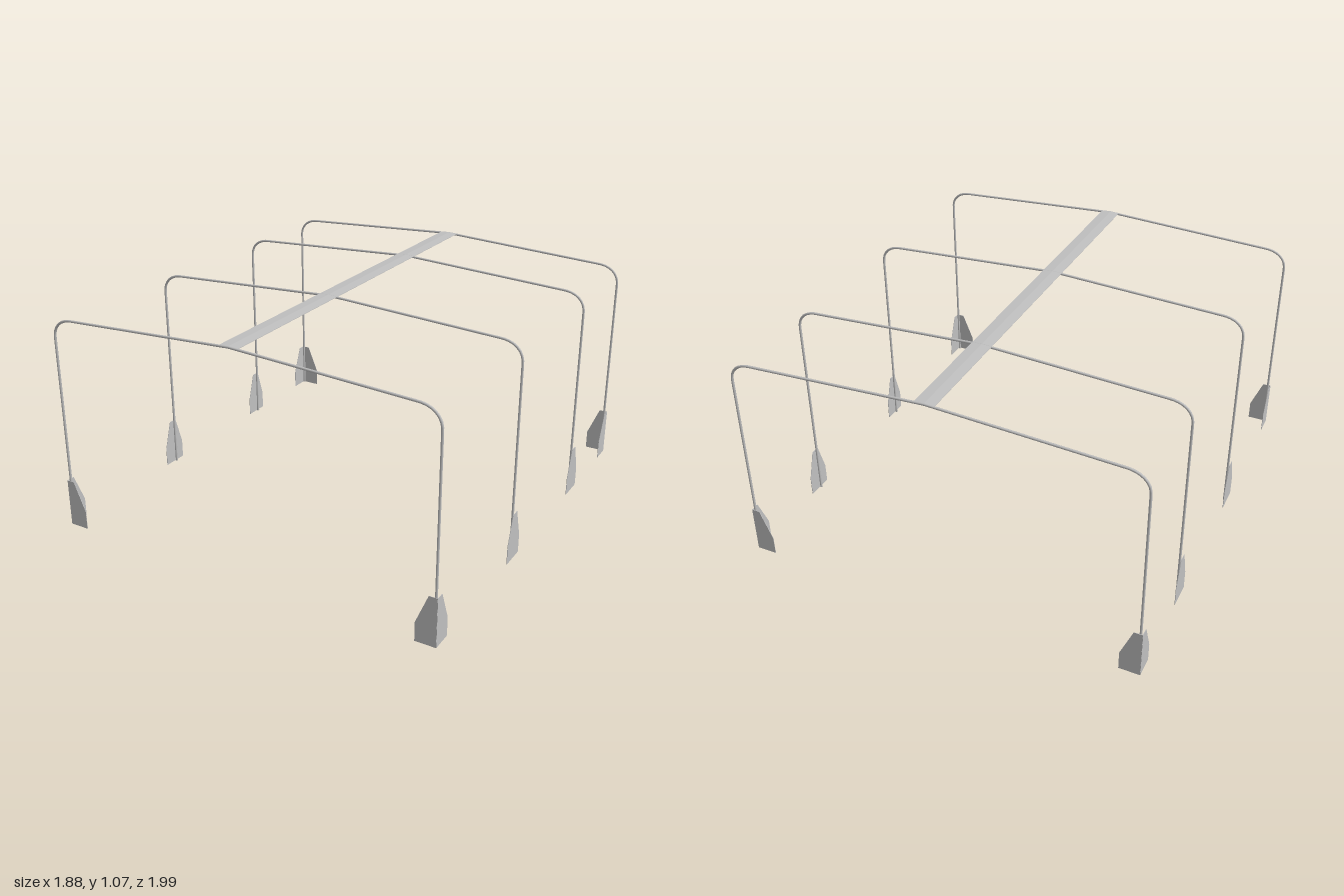
import * as THREE from 'three';

const POST_X = 0.927, RADIUS = 0.0058, BASE = 0.0055, APEX = 1.058;
const PLATE_X = 0.938, PLATE_Z = 0.9945, THICK = 0.002;
const FRAME_Z = [0.984, 0.24, -0.494, -0.985];

// Centre line of one bent pipe: post, rounded eave, rafter, mirrored about the ridge
function framePath() {
  const v = (x, y) => new THREE.Vector3(x, y, 0);
  const path = new THREE.CurvePath();
  const foot = BASE + 0.003;
  path.add(new THREE.LineCurve3(v(-POST_X, foot), v(-POST_X, 0.925)));
  path.add(new THREE.CubicBezierCurve3(v(-POST_X, 0.925), v(-POST_X, 0.975), v(-0.89, 1.010), v(-0.832, 1.0145)));
  path.add(new THREE.LineCurve3(v(-0.832, 1.0145), v(0, APEX)));
  path.add(new THREE.LineCurve3(v(0, APEX), v(0.832, 1.0145)));
  path.add(new THREE.CubicBezierCurve3(v(0.832, 1.0145), v(0.89, 1.010), v(POST_X, 0.975), v(POST_X, 0.925)));
  path.add(new THREE.LineCurve3(v(POST_X, 0.925), v(POST_X, foot)));
  return path;
}

// Flat plate from an outline, centred on its thickness
function plateGeometry(points) {
  const shape = new THREE.Shape(points.map(([x, y]) => new THREE.Vector2(x, y)));
  return new THREE.ExtrudeGeometry(shape, { depth: THICK, bevelEnabled: false }).translate(0, 0, -THICK / 2);
}

export function createModel() {
  const model = new THREE.Group();
  model.name = 'shelterFrame';
  const steel = new THREE.MeshStandardMaterial({ color: 0xc0c0c0, side: THREE.DoubleSide });
  steel.name = 'greySteel';

  const add = (parent, geometry, name, x = 0, y = 0, z = 0) => {
    const mesh = new THREE.Mesh(geometry, steel);
    mesh.name = name;
    mesh.position.set(x, y, z);
    parent.add(mesh);
    return mesh;
  };

  // Arched pipe frames
  const pipe = new THREE.TubeGeometry(framePath(), 180, RADIUS, 8, false);
  FRAME_Z.forEach((z, i) => add(model, pipe, `archFrame${i + 1}`, 0, 0, z));

  // Ridge strip, folded along its middle to the roof slope
  const slope = (APEX - 1.0145) / 0.832, top = APEX + RADIUS - 0.001, w = 0.045;
  const strip = new THREE.Shape([
    [-w, top - w * slope], [-w, top - w * slope - THICK], [0, top - THICK],
    [w, top - w * slope - THICK], [w, top - w * slope], [0, top],
  ].map(([x, y]) => new THREE.Vector2(x, y)));
  const length = FRAME_Z[0] - FRAME_Z[3];
  add(model, new THREE.ExtrudeGeometry(strip, { depth: length, bevelEnabled: false }), 'ridgeStrip', 0, 0, FRAME_Z[3]);

  // Foot plates: symmetric on the inner frames, folded pairs at the four corners
  const wide = plateGeometry([
    [-0.063, BASE], [0.063, BASE], [0.063, 0.095], [0.021, 0.23], [-0.021, 0.23], [-0.063, 0.095],
  ]);
  const half = plateGeometry([[0, BASE], [0.094, BASE], [0.094, 0.093], [0.038, 0.23], [0, 0.23]]);
  for (const side of [-1, 1]) {
    const label = side > 0 ? 'left' : 'right';
    for (const i of [1, 2]) {
      add(model, wide, `${label}FootPlate${i}`, side * PLATE_X, 0, FRAME_Z[i] + 0.001).rotation.y = Math.PI / 2;
    }
    for (const end of [-1, 1]) {
      const corner = new THREE.Group();
      corner.name = `${label}${end > 0 ? 'Front' : 'Back'}CornerFoot`;
      corner.position.set(side * PLATE_X, 0, end * PLATE_Z);
      add(corner, half, 'endPlate').rotation.y = side > 0 ? Math.PI : 0;
      add(corner, half, 'sidePlate').rotation.y = end * Math.PI / 2;
      model.add(corner);
    }
  }

  // Whole frame leans very slightly, front end higher
  model.rotation.x = -0.0055;
  const root = new THREE.Group();
  root.name = 'shelter';
  root.add(model);
  return root;
}
